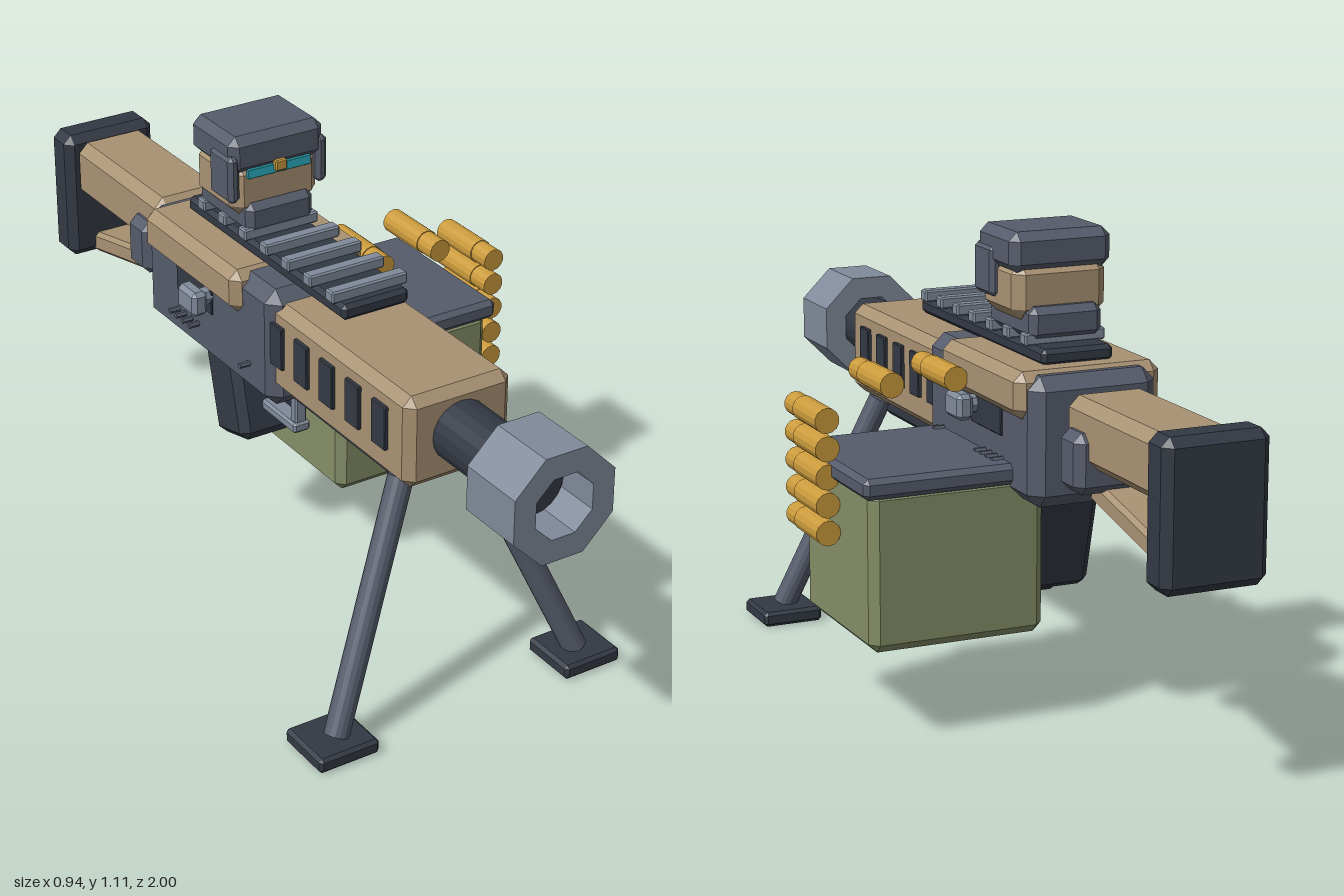
import * as THREE from 'three';
import { ConvexGeometry } from 'three/addons/geometries/ConvexGeometry.js';

const CX = -0.07; // centre line of the weapon body

const mat = (name, color) => {
  const m = new THREE.MeshStandardMaterial({ color, flatShading: true });
  m.name = name;
  return m;
};

// Box between two limits per axis, with every edge chamfered by c
function chamferBox(x0, x1, y0, y1, z0, z1, c) {
  const h = [(x1 - x0) / 2, (y1 - y0) / 2, (z1 - z0) / 2];
  const pts = [];
  for (const sx of [-1, 1]) for (const sy of [-1, 1]) for (const sz of [-1, 1]) {
    for (let a = 0; a < 3; a++) {
      const d = h.map((v, i) => (i === a ? v : v - c));
      pts.push(new THREE.Vector3(sx * d[0], sy * d[1], sz * d[2]));
    }
  }
  return new ConvexGeometry(pts);
}

export function createModel() {
  const root = new THREE.Group();
  root.name = 'machineGun';
  const slate = mat('slate', 0x565c6b);
  const dark = mat('darkMetal', 0x333944);
  const light = mat('lightMetal', 0x808a9a);
  const tan = mat('tan', 0xa99273);
  const olive = mat('olive', 0x858e67);
  const brass = mat('brass', 0xcb9b3d);
  const teal = mat('tealGlass', 0x2cb4c8);

  const add = (name, geo, m, x = 0, y = 0, z = 0) => {
    const mesh = new THREE.Mesh(geo, m);
    mesh.name = name;
    mesh.position.set(x, y, z);
    root.add(mesh);
    return mesh;
  };
  const box = (name, m, x0, x1, y0, y1, z0, z1, c = 0.012) =>
    add(name, chamferBox(x0, x1, y0, y1, z0, z1, c), m, (x0 + x1) / 2, (y0 + y1) / 2, (z0 + z1) / 2);
  // Box centred on the body line, of width w
  const mid = (name, m, w, y0, y1, z0, z1, c) => box(name, m, CX - w / 2, CX + w / 2, y0, y1, z0, z1, c);
  // Cylinder between two points
  const rod = (name, m, a, b, r, sides = 16) => {
    const d = b.clone().sub(a);
    const mesh = add(name, new THREE.CylinderGeometry(r, r, d.length(), sides), m);
    mesh.position.copy(a).add(b).multiplyScalar(0.5);
    mesh.quaternion.setFromUnitVectors(new THREE.Vector3(0, 1, 0), d.normalize());
    return mesh;
  };
  const V = (x, y, z) => new THREE.Vector3(x, y, z);

  // Muzzle: octagonal block with a bore
  const ring = (r) => Array.from({ length: 8 }, (_, i) => {
    const a = Math.PI / 8 + (i * Math.PI) / 4;
    return new THREE.Vector2(Math.cos(a) * r, Math.sin(a) * r);
  });
  const muzzleShape = new THREE.Shape(ring(0.135));
  muzzleShape.holes.push(new THREE.Path(ring(0.077).reverse()));
  add('muzzle', new THREE.ExtrudeGeometry(muzzleShape, { depth: 0.165, bevelEnabled: false }), light, CX, 0.69, 0.835);
  rod('barrel', dark, V(CX, 0.69, 0.6), V(CX, 0.69, 0.9), 0.072, 20);

  // Handguard with side vents
  mid('handguard', tan, 0.27, 0.575, 0.795, 0.05, 0.635, 0.022);
  for (const s of [-1, 1]) for (let i = 0; i < 5; i++) {
    const x = CX + s * 0.137;
    box('vent', dark, x - 0.007, x + 0.007, 0.645, 0.75, 0.506 - i * 0.104, 0.56 - i * 0.104, 0.002);
  }

  // Receiver and top cover
  mid('receiver', slate, 0.306, 0.53, 0.822, -0.457, 0.118, 0.03);
  mid('topCover', tan, 0.352, 0.725, 0.83, -0.425, -0.005, 0.022);
  for (const s of [-1, 1]) {
    const x = CX + s * 0.153;
    box('ejectionPort', dark, x - 0.005, x + 0.005, 0.665, 0.74, -0.3, -0.14, 0.002);
    rod('chargingRod', light, V(x - s * 0.02, 0.71, -0.16), V(x + s * 0.04, 0.71, -0.16), 0.022, 8);
    box('chargingKnob', light, CX + s * 0.195 - 0.02, CX + s * 0.195 + 0.02, 0.68, 0.74, -0.2, -0.12, 0.01);
    for (const z of [-0.3, -0.27, -0.24, -0.21, 0.02]) {
      rod('rivet', slate, V(x, 0.613, z), V(x + s * 0.027, 0.613, z), 0.007, 6);
    }
  }

  // Top rail
  mid('railBase', dark, 0.173, 0.825, 0.863, -0.365, 0.31, 0.01);
  for (let i = 0; i < 7; i++) {
    const z = 0.268 - i * 0.092;
    mid('railRung', light, 0.196, 0.86, 0.888, z - 0.016, z + 0.016, 0.004);
  }

  // Optic
  mid('opticMount', slate, 0.176, 0.87, 0.945, -0.31, -0.083, 0.016);
  mid('opticHousing', tan, 0.228, 0.912, 1.04, -0.283, -0.1, 0.025);
  mid('opticHood', slate, 0.246, 1.018, 1.109, -0.285, -0.093, 0.02);
  mid('lens', teal, 0.165, 1.008, 1.03, -0.1, -0.0915, 0.001);
  mid('opticBead', brass, 0.03, 1.014, 1.04, -0.1, -0.082, 0.003);
  for (const s of [-1, 1]) {
    const x = CX + s * 0.115;
    box('opticSide', slate, x - 0.015, x + 0.015, 0.953, 1.067, -0.187, -0.093, 0.01);
  }

  // Grip, leaning forward at its foot, and trigger guard
  const grip = mid('grip', dark, 0.17, 0.29, 0.58, -0.295, -0.155, 0.02);
  grip.rotation.x = -0.25;
  mid('triggerGuardFront', light, 0.03, 0.39, 0.54, -0.03, -0.005, 0.004);
  mid('triggerGuardBase', light, 0.046, 0.375, 0.402, -0.15, 0, 0.006);

  // Stock
  mid('stock', tan, 0.192, 0.65, 0.795, -0.92, -0.49, 0.024);
  mid('stockJoint', slate, 0.246, 0.595, 0.73, -0.61, -0.512, 0.02);
  const strut = mid('stockStrut', tan, 0.11, 0.522, 0.574, -0.93, -0.53, 0.01);
  strut.rotation.x = -0.21;
  mid('buttPad', dark, 0.246, 0.48, 0.81, -1, -0.907, 0.02);

  // Bipod
  mid('bipodMount', dark, 0.166, 0.525, 0.58, 0.06, 0.555, 0.012);
  for (const s of [-1, 1]) {
    rod('bipodLeg', slate, V(CX + s * 0.094, 0.565, 0.55), V(CX + s * 0.32, 0.035, 0.65), 0.029, 16);
    const x = CX + s * 0.326;
    box('bipodFoot', dark, x - 0.076, x + 0.076, 0, 0.037, 0.57, 0.717, 0.008);
  }

  // Ammunition box
  box('ammoBox', olive, -0.003, 0.413, 0.213, 0.58, -0.34, 0.056, 0.02);
  box('ammoLid', slate, -0.022, 0.432, 0.565, 0.613, -0.355, 0.065, 0.012);

  // Cartridge belt
  const rounds = [[0.132, 0.768], [0.286, 0.768]];
  for (let i = 0; i < 5; i++) rounds.push([0.441, 0.703 - i * 0.064]);
  for (const [x, y] of rounds) {
    rod('cartridgeCase', brass, V(x, y, -0.16), V(x, y, -0.02), 0.029, 14);
    rod('cartridgeTip', brass, V(x, y, -0.02), V(x, y, 0.035), 0.027, 14);
  }
  return root;
}
